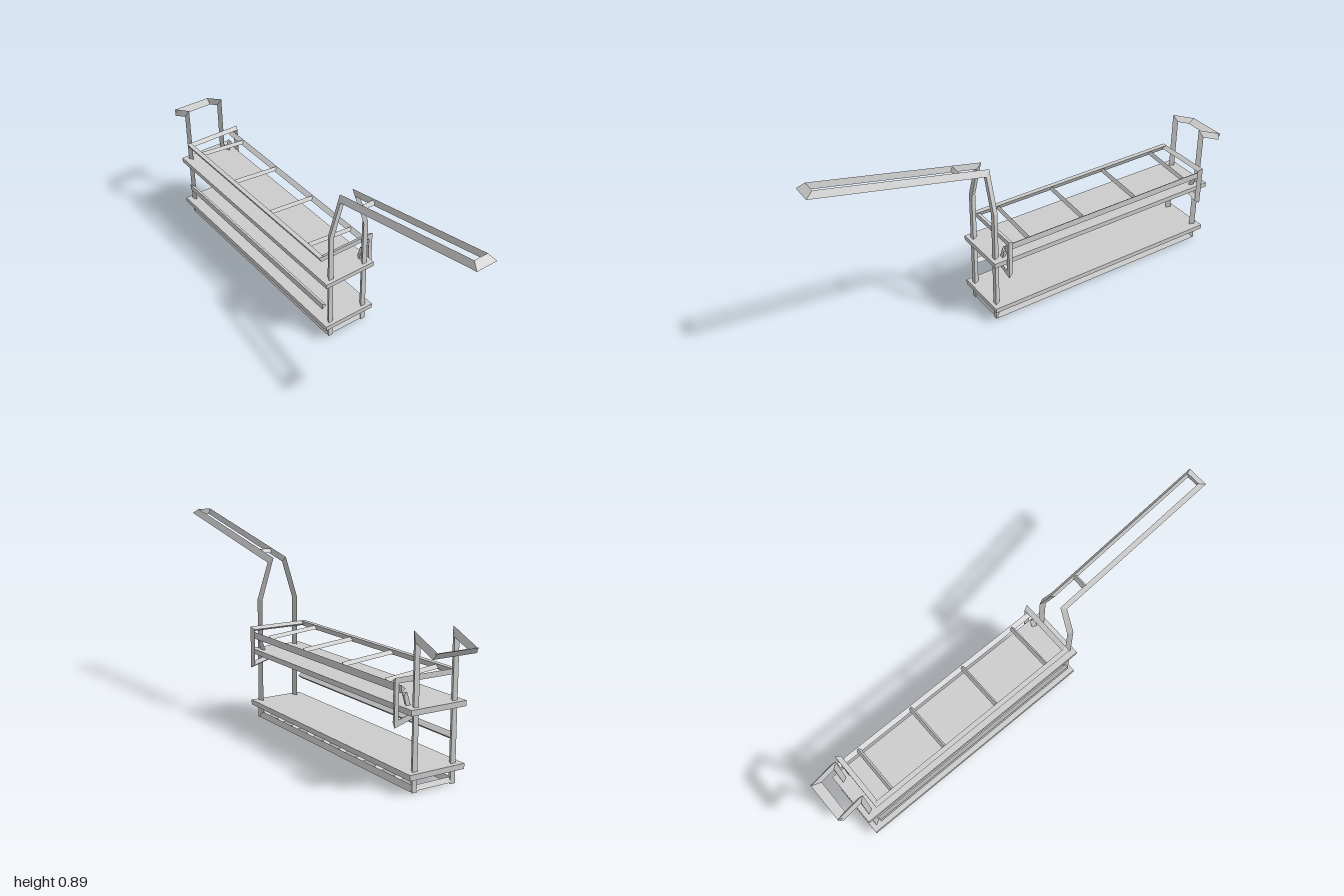
import * as THREE from 'three';

const CX = -0.0175; // middle line of the stand
const mat = new THREE.MeshStandardMaterial({ color: 0xcccccc, flatShading: true });

// Skins a run of triangular sections (three [x, y, z] corners each) and closes both ends.
function loft(name, sections) {
  const tris = [];
  const S = sections.map((s) => s.map((p) => new THREE.Vector3(...p)));
  for (let i = 0; i < S.length - 1; i++) {
    for (let k = 0; k < 3; k++) {
      const n = (k + 1) % 3;
      const [a, b, c, d] = [S[i][k], S[i][n], S[i + 1][n], S[i + 1][k]];
      tris.push([a, b, c], [a, c, d]);
    }
  }
  const [e0, e1] = [S[0], S[S.length - 1]];
  tris.push([e0[2], e0[1], e0[0]], [e1[0], e1[1], e1[2]]);

  // turn the faces outwards if the run was given the other way round
  let volume = 0;
  const cross = new THREE.Vector3();
  for (const [a, b, c] of tris) volume += a.dot(cross.crossVectors(b, c));
  const flat = [];
  for (const [a, b, c] of tris) {
    for (const p of volume < 0 ? [a, c, b] : [a, b, c]) flat.push(p.x, p.y, p.z);
  }
  const geo = new THREE.BufferGeometry();
  geo.setAttribute('position', new THREE.Float32BufferAttribute(flat, 3));
  geo.computeVertexNormals();
  const mesh = new THREE.Mesh(geo, mat);
  mesh.name = name;
  return mesh;
}

// Straight triangular bar along z; corners are [x, y]
const barZ = (name, corners, z0, z1) =>
  loft(name, [z0, z1].map((z) => corners.map(([x, y]) => [x, y, z])));

// Straight triangular bar along x; corners are [z, y], drop lowers the far end
const barX = (name, corners, x0, x1, drop = 0) =>
  loft(name, [x0, x1].map((x, i) => corners.map(([z, y]) => [x, y - i * drop, z])));

// Mirrors half sections, given as offsets from the middle line, into one side
const side = (half, s) => half.map((sec) => sec.map(([x, y, z]) => [CX + s * x, y, z]));

export function createModel() {
  const g = new THREE.Group();
  g.name = 'shelfCart';

  // front posts, leaning in and bending forward into the long pull handle
  const front = [
    [[0.101, 0, 0.245], [0.078, 0, 0.245], [0.0895, 0, 0.221]],
    [[0.101, 0.545, 0.245], [0.078, 0.54, 0.245], [0.0895, 0.543, 0.221]],
    [[0.048, 0.705, 0.245], [0.026, 0.705, 0.245], [0.032, 0.727, 0.221]],
    [[0.048, 0.867, 1], [0.026, 0.861, 0.97], [0.032, 0.888, 0.967]],
  ];
  g.add(loft('frontPostsAndHandle', [...side(front, -1), ...side(front, 1).reverse()]));
  g.add(barX('handleSpacer', [[0.345, 0.732], [0.367, 0.736], [0.355, 0.752]], CX - 0.03, CX + 0.03));

  // rear posts with short push handle
  const rear = [
    [[0.101, 0, -0.888], [0.078, 0, -0.888], [0.0895, 0, -0.865]],
    [[0.101, 0.56, -0.888], [0.078, 0.56, -0.888], [0.0895, 0.599, -0.865]],
    [[0.101, 0.518, -0.985], [0.078, 0.518, -0.985], [0.0895, 0.541, -1]],
  ];
  for (const s of [-1, 1]) g.add(loft('rearPost', side(rear, s)));
  g.add(barX('rearHandleBar', [[-1, 0.541], [-0.985, 0.518], [-0.957, 0.53]], CX - 0.095, CX + 0.095));

  // two shelf boards
  for (const y of [0.069, 0.311]) {
    const shelf = new THREE.Mesh(new THREE.BoxGeometry(0.253, 0.022, 1.171), mat);
    shelf.name = 'shelf';
    shelf.position.set(CX + 0.001, y, -0.324);
    g.add(shelf);
  }

  // base frame: side runners and ladder of cross bars
  for (const s of [-1, 1]) {
    g.add(barZ('baseRunner',
      [[CX + s * 0.101, 0.002], [CX + s * 0.078, 0.002], [CX + s * 0.0895, 0.025]], 0.235, -0.88));
  }
  for (let i = 0; i < 10; i++) {
    const z = 0.232 - i * 0.1232;
    g.add(barX('baseRung', [[z - 0.011, 0.006], [z + 0.011, 0.006], [z, 0.025]], CX - 0.085, CX + 0.085));
  }

  // rail between the shelves, on one side only
  g.add(barZ('middleRail', [[-0.137, 0.155], [-0.137, 0.185], [-0.116, 0.17]], 0.225, -0.863));

  // upper rack: two long rails joined by sloping rungs
  g.add(barZ('highRail', [[-0.142, 0.432], [-0.12, 0.432], [-0.131, 0.408]], 0.208, -0.85));
  g.add(barZ('lowRail', [[0.12, 0.375], [0.12, 0.405], [0.1, 0.39]], 0.215, -0.86));
  for (const z of [0.095, -0.187, -0.473, -0.755]) {
    g.add(barX('rackRung', [[z - 0.01, 0.414], [z + 0.01, 0.414], [z, 0.43]], -0.13, 0.112, 0.022));
  }

  // bent end hooks: outer and inner outline in x, y
  const outer = [[-0.142, 0.432], [0.14, 0.432], [0.14, 0.245], [0.052, 0.27], [0.086, 0.374]];
  const inner = [[-0.133, 0.41], [0.122, 0.41], [0.122, 0.274], [0.078, 0.287], [0.1, 0.36]];
  for (const [zFlat, zRidge] of [[0.21, 0.188], [-0.85, -0.828]]) {
    g.add(loft('endHook', outer.map(([x, y], i) => {
      const [u, v] = inner[i];
      return [[x, y, zFlat], [u, v, zFlat], [(x + u) / 2, (y + v) / 2, zRidge]];
    })));
  }
  return g;
}
